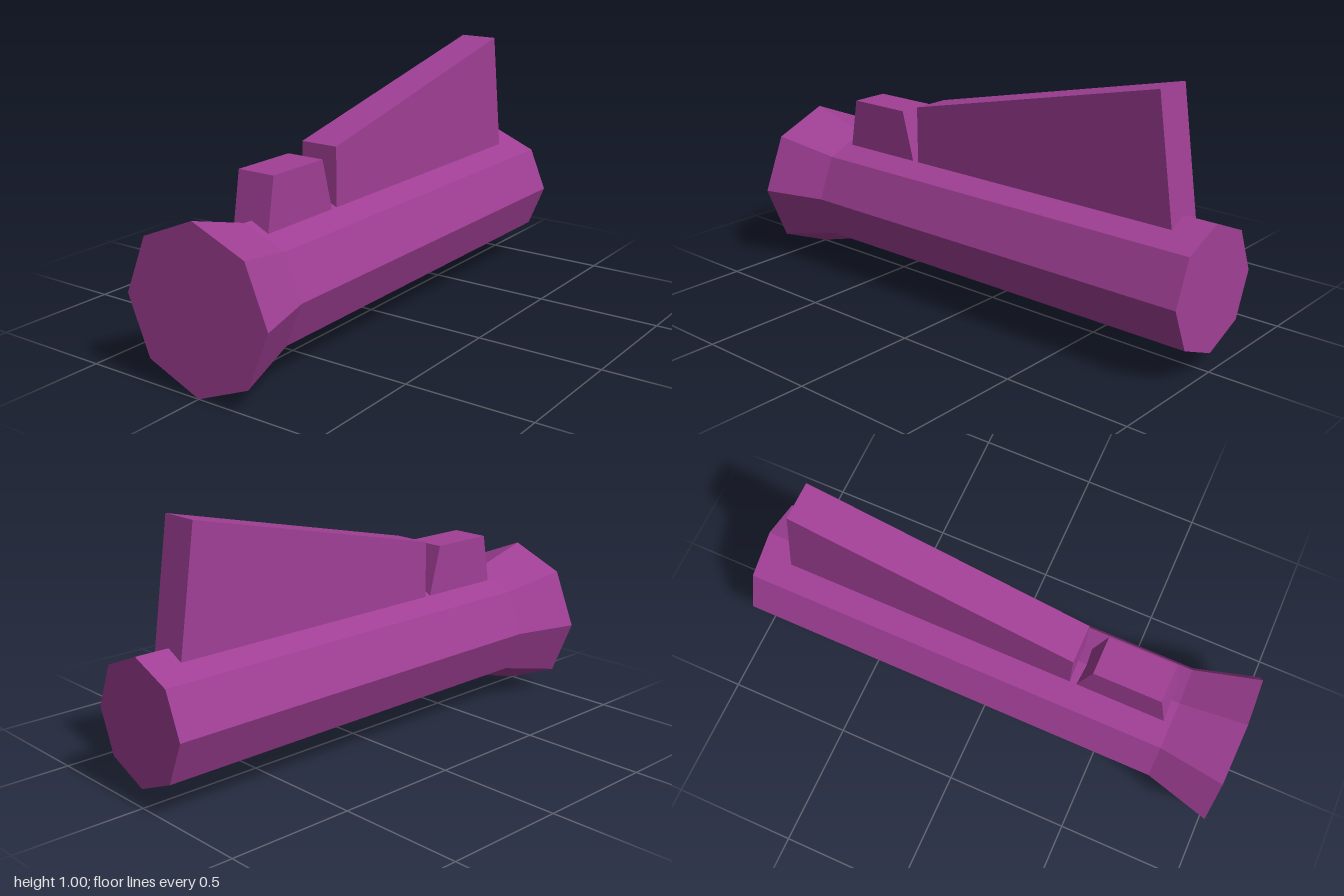
import * as THREE from 'three';

const purple = new THREE.MeshStandardMaterial({ color: 0xa03f95, flatShading: true });
purple.name = 'purple';

// Extrudes a [z, y] side profile across x, centred on x = 0
function sidePlate(name, profile, width) {
  const shape = new THREE.Shape(profile.map(([z, y]) => new THREE.Vector2(z, y)));
  const geometry = new THREE.ExtrudeGeometry(shape, { depth: width, bevelEnabled: false });
  geometry.translate(0, 0, -width / 2);
  geometry.rotateY(-Math.PI / 2);
  const mesh = new THREE.Mesh(geometry, purple);
  mesh.name = name;
  return mesh;
}

export function createModel() {
  const model = new THREE.Group();
  model.name = 'finnedTube';

  // Eight-sided body, flared at the front and closed at both ends
  const outline = [[0, -1], [0.24, -1], [0.24, 0.74], [0.313, 1], [0, 1]]
    .map(([r, z]) => new THREE.Vector2(r, z));
  const bodyGeometry = new THREE.LatheGeometry(outline, 8);
  bodyGeometry.rotateX(Math.PI / 2);
  const body = new THREE.Mesh(bodyGeometry, purple);
  body.name = 'body';
  body.position.y = 0.315;
  model.add(body);

  // Tall rear fin and short front block, both sunk into the body
  const width = 0.155;
  model.add(sidePlate('rearFin', [[0.327, 0.45], [0.327, 0.75], [-0.8, 1.003], [-0.88, 0.45]], width));
  model.add(sidePlate('frontBlock', [[0.725, 0.45], [0.678, 0.72], [0.408, 0.72], [0.335, 0.45]], width));

  return model;
}
